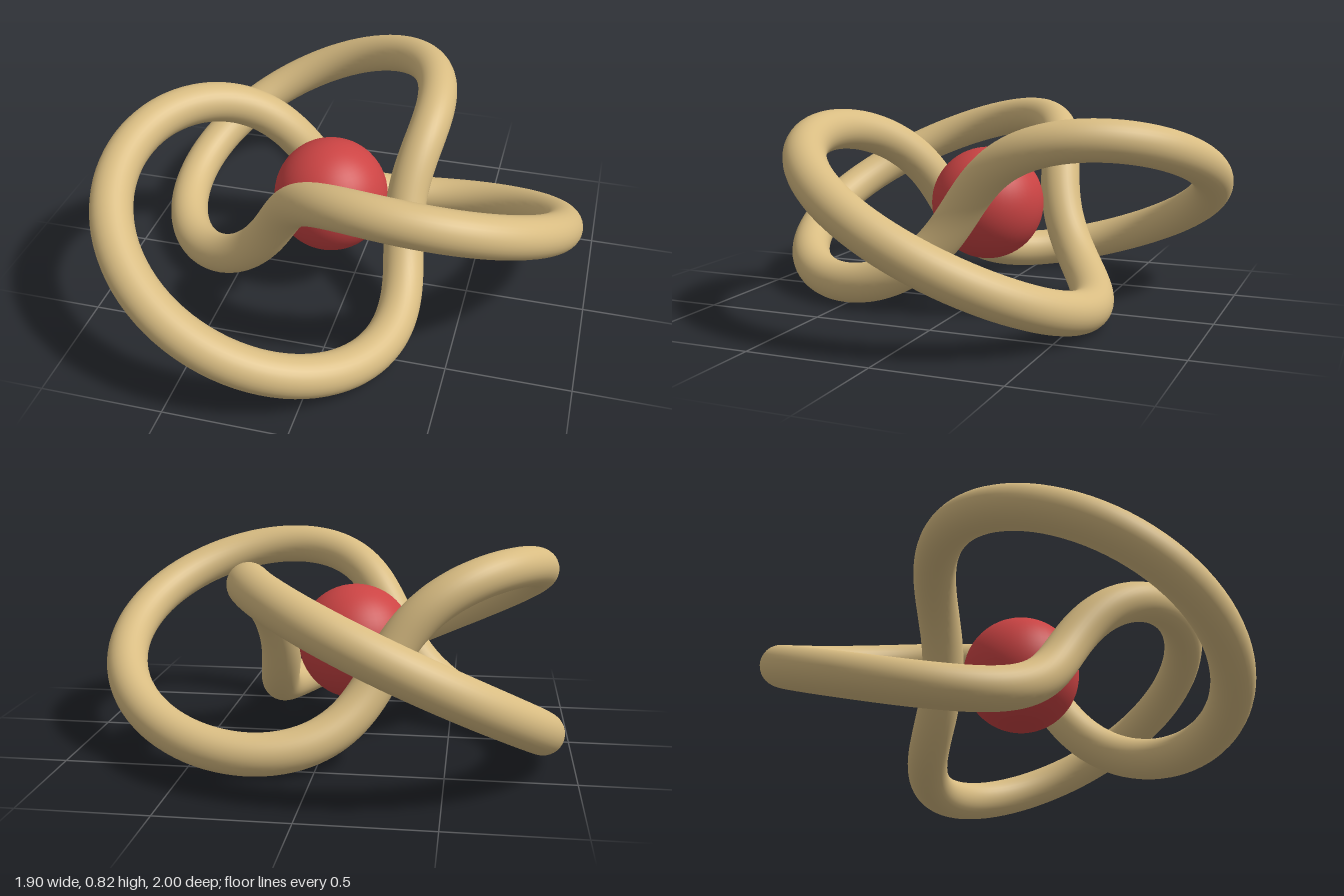
import * as THREE from 'three';

export function createModel() {
  const group = new THREE.Group();
  const sand = new THREE.MeshStandardMaterial({ color: 0xd8bc82 });
  sand.name = 'sand';
  const red = new THREE.MeshStandardMaterial({ color: 0xcc4444 });
  red.name = 'red';

  // The three lobes balance around an axis slightly left of the middle
  const centre = new THREE.Vector3(-0.103, 0.408, 0);

  // Three-lobed closed knot lying flat; negative q gives the mirrored winding
  const knotGeometry = new THREE.TorusKnotGeometry(0.6475, 0.0842, 300, 32, 2, -3);
  knotGeometry.rotateX(-Math.PI / 2);
  const knot = new THREE.Mesh(knotGeometry, sand);
  knot.name = 'knot';
  knot.position.copy(centre);

  // Ball held in the middle
  const ball = new THREE.Mesh(new THREE.SphereGeometry(0.24, 48, 32), red);
  ball.name = 'ball';
  ball.position.copy(centre);

  group.add(knot, ball);
  return group;
}
